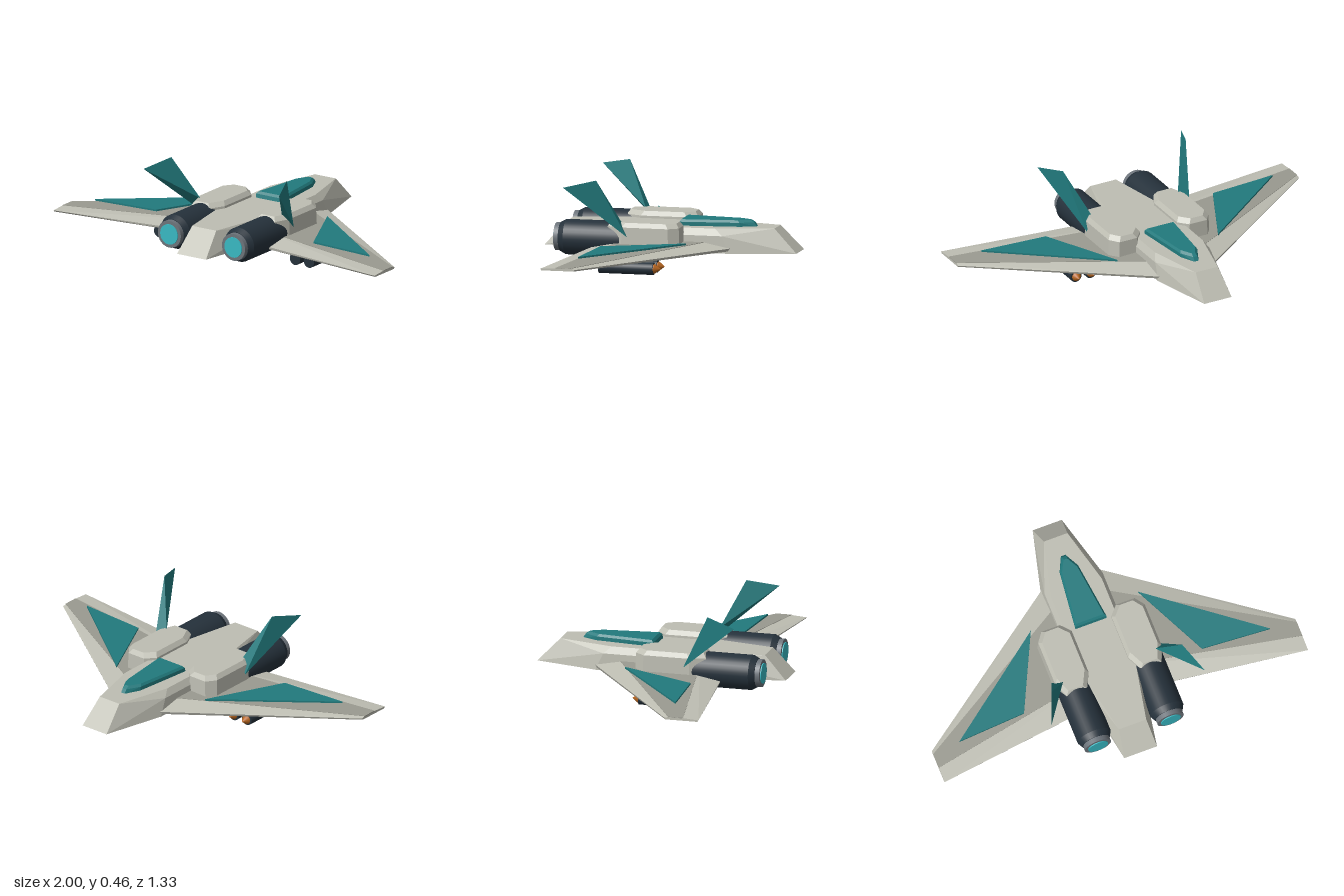
import * as THREE from 'three';
import { ConvexGeometry } from 'three/addons/geometries/ConvexGeometry.js';

const mat = (name, color) => {
  const m = new THREE.MeshStandardMaterial({ color });
  m.name = name;
  return m;
};

// Faceted solid around a list of [x, y, z] corners
const solid = (pts) => new ConvexGeometry(pts.map((p) => new THREE.Vector3(...p)));

// Horizontal outline of [x, z] pairs at height y
const level = (y, outline) => outline.map(([x, z]) => [x, y, z]);
const bothSides = (outline) => outline.flatMap(([x, z]) => [[x, z], [-x, z]]);

// Mirror a geometry across x = 0, keeping faces outward
function mirrorX(geometry) {
  const g = geometry.index ? geometry.toNonIndexed() : geometry.clone();
  g.scale(-1, 1, 1);
  for (const attr of Object.values(g.attributes)) {
    const n = attr.itemSize, a = attr.array;
    for (let i = 0; i < attr.count; i += 3) {
      for (let k = 0; k < n; k++) {
        const u = (i + 1) * n + k, v = (i + 2) * n + k;
        [a[u], a[v]] = [a[v], a[u]];
      }
    }
  }
  return g;
}

// Round body along z from [radius, z] profile points
function turned(profile, x, y, sides = 28) {
  const geos = new THREE.LatheGeometry(profile.map(([r, z]) => new THREE.Vector2(r, z)), sides);
  return geos.rotateX(Math.PI / 2).translate(x, y, 0);
}

export function createModel() {
  const hullPaint = mat('hull light grey', 0xbebeb3);
  const panelPaint = mat('panel grey', 0x9a9a90);
  const teal = mat('teal', 0x217a7d);
  const dark = mat('engine dark blue', 0x25313b);
  const metal = mat('nozzle grey', 0x6c737a);
  const glow = mat('exhaust cyan', 0x38b8c2);
  const orange = mat('warhead orange', 0xb5651f);

  const model = new THREE.Group();
  model.name = 'spacecraft';
  const add = (name, geometry, material) => {
    const mesh = new THREE.Mesh(geometry, material);
    mesh.name = name;
    model.add(mesh);
  };
  const addPair = (name, geometry, material) => {
    add(name + 'Left', geometry, material);
    add(name + 'Right', mirrorX(geometry), material);
  };

  // Fuselage: wide flat base, narrower deck, sloping nose and tail
  add('fuselage', solid([
    ...level(0.076, bothSides([[0.08, -0.665], [0.165, -0.33], [0.165, 0.22], [0.09, 0.665]])),
    ...level(0.165, bothSides([[0.16, -0.29], [0.16, 0.22]])),
    ...level(0.2, bothSides([[0.065, -0.545], [0.14, -0.25], [0.14, 0.22], [0.075, 0.55]])),
  ]), hullPaint);

  // Canopy
  add('canopy', solid([
    ...level(0.198, bothSides([[0.012, -0.44], [0.05, -0.36], [0.086, -0.04]])),
    ...level(0.22, bothSides([[0.012, -0.425], [0.05, -0.355], [0.086, -0.045]])),
    ...level(0.232, bothSides([[0.01, -0.405], [0.042, -0.345], [0.076, -0.055]])),
  ]), teal);

  // Wings with a ridged upper surface
  const ridge = [[0.14, 0.13, -0.21], [1, 0.104, 0.3], [1, 0.104, 0.38], [0.14, 0.13, 0.22]];
  addPair('wing', solid([
    [0.14, 0.103, -0.348], [1, 0.098, 0.28], [1, 0.098, 0.462], [0.14, 0.103, 0.352],
    [0.14, 0.088, -0.34], [1, 0.09, 0.285], [1, 0.09, 0.455], [0.14, 0.088, 0.348],
    ...ridge,
  ]), hullPaint);
  addPair('wingStripe', solid(ridge.flatMap(([x, y, z]) => [[x, y - 0.002, z], [x, y + 0.002, z]])), panelPaint);

  // Teal plates above the wings
  const plate = [[0.295, -0.135], [0.855, 0.297], [0.49, 0.272]];
  addPair('wingPlate', solid([...level(0.134, plate), ...level(0.143, plate)]), teal);

  // Eight-sided engine housings with bevelled tops
  const housing = (i) => [
    [0.15 + i, -0.09 + i], [0.26 - i, -0.09 + i], [0.297 - i, -0.04 + i], [0.297 - i, 0.21 - i],
    [0.265 - i, 0.292 - i], [0.145 + i, 0.292 - i], [0.105 + i, 0.21 - i], [0.105 + i, -0.04 + i],
  ];
  addPair('engineHousing', solid([
    ...level(0.09, housing(0)), ...level(0.212, housing(0.004)), ...level(0.235, housing(0.02)),
  ]), hullPaint);

  // Engines, nozzles and exhaust discs
  const barrel = new THREE.CylinderGeometry(0.091, 0.091, 0.47, 32);
  addPair('engine', barrel.rotateX(Math.PI / 2).translate(0.2, 0.139, 0.285), dark);
  const taper = (rBack, rFront, length, z) =>
    new THREE.CylinderGeometry(rBack, rFront, length, 32).rotateX(Math.PI / 2).translate(0.2, 0.139, z);
  addPair('engineRearBevel', taper(0.075, 0.091, 0.03, 0.535), dark);
  addPair('engineFrontBevel', taper(0.091, 0.07, 0.03, 0.035), dark);
  addPair('nozzle', taper(0.072, 0.072, 0.03, 0.56), metal);
  addPair('exhaust', taper(0.054, 0.054, 0.012, 0.574), glow);

  // Canted tail fins
  addPair('tailFin', solid([
    [0.302, 0.165, 0.178], [0.253, 0.23, 0.215], [0.36, 0.462, 0.325], [0.422, 0.428, 0.485],
  ]), teal);

  // Two missiles below each wing
  for (const [i, x] of [0.38, 0.467].entries()) {
    const body = new THREE.CylinderGeometry(0.032, 0.032, 0.288, 24);
    addPair('missileBody' + (i + 1), body.rotateX(Math.PI / 2).translate(x, 0.033, 0.137), dark);
    addPair('missileTip' + (i + 1), turned([[0, -0.044], [0.024, -0.014], [0.024, -0.005]], x, 0.033, 20), orange);
  }

  return model;
}
